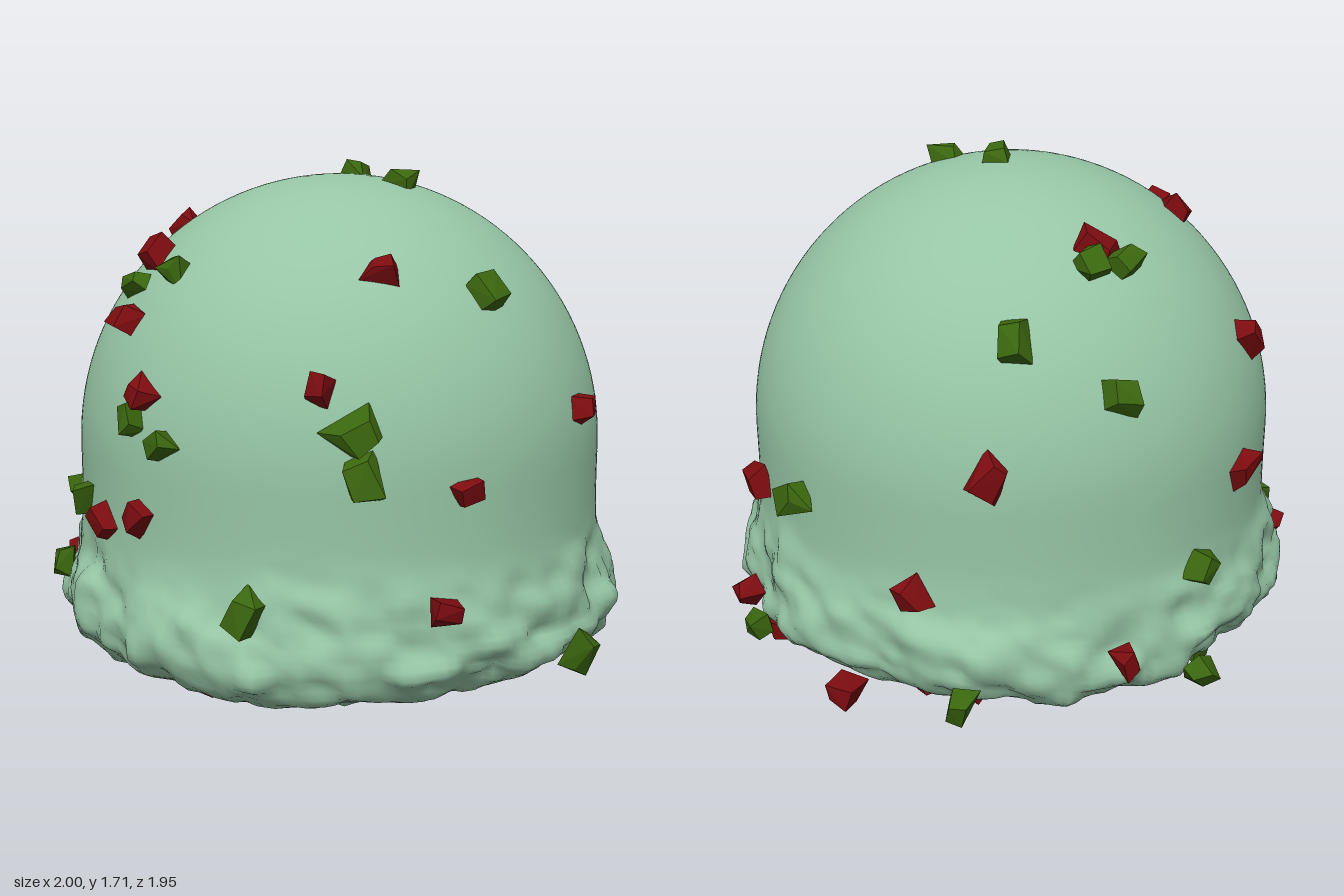
import * as THREE from 'three';
import { mergeVertices } from 'three/addons/utils/BufferGeometryUtils.js';
import { ConvexGeometry } from 'three/addons/geometries/ConvexGeometry.js';

const DOME_Y = 0.787, DOME_R = 0.885;

// Smooth value noise in three dimensions, range -1..1
function hash(x, y, z) {
  let h = Math.imul(x, 374761393) ^ Math.imul(y, 668265263) ^ Math.imul(z, 1274126177);
  h = Math.imul(h ^ (h >>> 13), 1103515245);
  return ((h ^ (h >>> 16)) >>> 0) / 2147483648 - 1;
}
function noise(x, y, z) {
  const i = Math.floor(x), j = Math.floor(y), k = Math.floor(z);
  const s = (t) => t * t * (3 - 2 * t);
  const u = s(x - i), v = s(y - j), w = s(z - k);
  const mix = THREE.MathUtils.lerp;
  const row = (b, c) => mix(hash(i, b, c), hash(i + 1, b, c), u);
  return mix(mix(row(j, k), row(j + 1, k), v), mix(row(j, k + 1), row(j + 1, k + 1), v), w);
}

function seeded(seed) {
  let s = seed * 7919 + 17;
  return () => {
    s = (Math.imul(s, 1664525) + 1013904223) >>> 0;
    return s / 4294967296;
  };
}

// Smooth dome running into a lumpy skirt and underside
function scoopGeometry() {
  const skirt = new THREE.SplineCurve([
    [0, 0.085], [0.4, 0.08], [0.7, 0.09], [0.85, 0.135], [0.935, 0.21],
    [0.95, 0.29], [0.925, 0.38], [0.9, 0.47], [0.887, 0.57], [DOME_R, DOME_Y],
  ].map(([x, y]) => new THREE.Vector2(x, y)));
  const profile = skirt.getSpacedPoints(70);
  for (let i = 1; i <= 32; i++) {
    const a = (i / 32) * Math.PI / 2;
    profile.push(new THREE.Vector2(i === 32 ? 0 : DOME_R * Math.cos(a), DOME_Y + DOME_R * Math.sin(a)));
  }
  let geo = new THREE.LatheGeometry(profile, 180);
  geo.deleteAttribute('uv');
  geo.deleteAttribute('normal');
  geo = mergeVertices(geo, 1e-4);
  geo.computeVertexNormals();
  const pos = geo.attributes.position, nor = geo.attributes.normal;
  const p = new THREE.Vector3(), n = new THREE.Vector3();
  for (let i = 0; i < pos.count; i++) {
    p.fromBufferAttribute(pos, i);
    n.fromBufferAttribute(nor, i);
    // The upper edge of the lumps wanders up and down around the scoop
    const edge = 0.53 + 0.06 * noise(p.x * 5, 3, p.z * 5);
    const weight = 1 - THREE.MathUtils.smoothstep(p.y, edge - 0.17, edge + 0.05);
    if (weight > 0) {
      const lump = 0.03 * noise(p.x * 5 + 9, p.y * 6, p.z * 5)
        + 0.03 * noise(p.x * 11, p.y * 13 + 4, p.z * 11)
        + 0.012 * noise(p.x * 24, p.y * 24, p.z * 24 + 7);
      p.addScaledVector(n, lump * weight * (n.y < -0.7 ? 0.75 : 1));
      pos.setXYZ(i, p.x, p.y, p.z);
    }
  }
  geo.computeVertexNormals();
  return geo;
}

// Irregular angular chip: eight jittered corners, wider on the outer face
function chipGeometry(rand, big) {
  const pts = [];
  for (const x of [-1, 1]) for (const y of [-1, 1]) for (const z of [-1, 1]) {
    const k = y > 0 ? 0.7 : 1;
    pts.push(new THREE.Vector3(
      x * k * 0.055 * big * (0.55 + 0.7 * rand()),
      y * 0.036 * (0.5 + 0.8 * rand()),
      z * k * 0.042 * big * (0.5 + 0.8 * rand())));
  }
  return new ConvexGeometry(pts);
}

const RED_CHIPS = [
  // dome
  [0.11, 1.40, 0.65], [-0.07, 1.07, 0.84], [0.76, 0.95, 0.47], [0.36, 0.77, 0.81],
  [-0.61, 1.02, 0.62], [-0.62, 0.65, 0.64], [-0.75, 0.60, 0.5], [-0.54, 1.49, -0.14],
  [-0.59, 1.42, 0.25], [-0.68, 1.22, 0.40], [-0.68, 1.14, -0.45], [-0.63, 0.78, -0.65],
  [-0.16, 1.52, -0.55], [0.23, 0.90, -0.87], [0.90, 0.65, -0.20],
  // skirt
  [0.29, 0.43, 0.91], [0.47, 0.51, -0.79], [0.95, 0.36, -0.40], [-0.95, 0.31, -0.15], [-0.18, 0.30, -0.95],
  // underside
  [-0.12, 0.07, 0.08], [-0.06, 0.07, -0.29], [-0.2, 0.07, -0.5], [-0.45, 0.07, -0.47], [-0.4, 0.08, 0.55],
  [0.68, 0.07, -0.19], [0.84, 0.09, -0.18], [0.37, 0.07, -0.58], [0.25, 0.07, -0.63], [0.66, 0.09, -0.62],
];
const GREEN_CHIPS = [
  // dome
  [0.44, 1.34, 0.59], [0.03, 0.94, 0.88], [0.05, 0.82, 0.88], [-0.54, 0.89, 0.70],
  [-0.64, 0.95, 0.62], [-0.66, 1.33, 0.30], [-0.52, 1.39, 0.43], [-0.90, 0.61, 0.03],
  [-0.83, 0.64, 0.35], [0.05, 1.69, -0.04], [0.20, 1.66, 0.15], [-0.24, 1.46, -0.57],
  [-0.14, 1.46, -0.60], [-0.17, 1.12, -0.82], [0.14, 1.28, -0.75], [0.79, 0.71, -0.46],
  // skirt
  [-0.30, 0.42, 0.89], [0.72, 0.22, 0.68], [-0.96, 0.33, 0.03], [-0.45, 0.51, -0.80],
  [-0.43, 0.20, -0.90], [0.34, 0.20, -0.93], [0.92, 0.23, -0.39],
  // underside
  [0.08, 0.06, 0.41], [-0.55, 0.06, 0.21], [-0.16, 0.07, -0.29], [-0.52, 0.07, -0.54], [0.45, 0.06, -0.22],
];

function chipGroup(name, spots, material, seed) {
  const group = new THREE.Group();
  group.name = name + 's';
  const up = new THREE.Vector3(0, 1, 0);
  spots.forEach(([x, y, z], i) => {
    const rand = seeded(seed + i);
    const chip = new THREE.Mesh(chipGeometry(rand, 0.95 + 0.4 * rand()), material);
    chip.name = name;
    chip.position.set(x, y, z);
    const out = new THREE.Vector3(x, 0, z).normalize();
    if (y > DOME_Y) {
      // Seat dome chips on the sphere
      out.set(x, y - DOME_Y, z).normalize();
      chip.position.copy(out).multiplyScalar(DOME_R + 0.012).setY(DOME_Y + out.y * (DOME_R + 0.012));
    } else if (y < 0.1) out.set(0, -1, 0);
    else if (y < 0.25) out.setY(-0.4).normalize();
    chip.quaternion.setFromUnitVectors(up, out);
    chip.rotateY(rand() * Math.PI * 2);
    chip.rotateX((rand() - 0.5) * 0.5);
    group.add(chip);
  });
  return group;
}

export function createModel() {
  const mint = new THREE.MeshStandardMaterial({ color: 0x96c5a5 });
  mint.name = 'mint';
  const red = new THREE.MeshStandardMaterial({ color: 0x7c0c10 });
  red.name = 'dark red';
  const green = new THREE.MeshStandardMaterial({ color: 0x3a660e });
  green.name = 'leaf green';

  const model = new THREE.Group();
  model.name = 'iceCreamScoop';
  const scoop = new THREE.Mesh(scoopGeometry(), mint);
  scoop.name = 'scoop';
  model.add(scoop);
  model.add(chipGroup('redChip', RED_CHIPS, red, 11));
  model.add(chipGroup('greenChip', GREEN_CHIPS, green, 211));
  return model;
}
